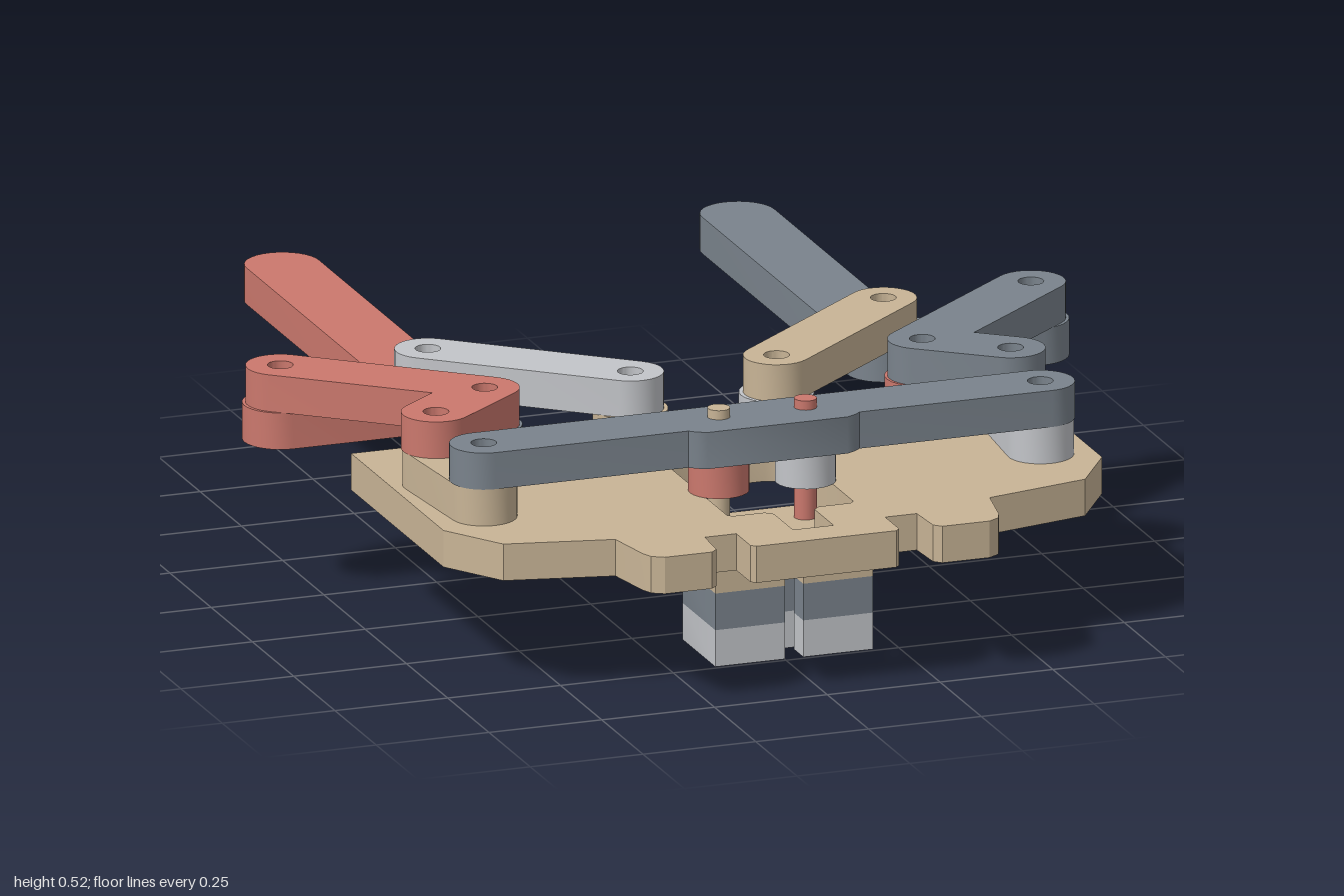
import * as THREE from 'three';
import { toCreasedNormals } from 'three/addons/utils/BufferGeometryUtils.js';

const mat = (name, color) => new THREE.MeshStandardMaterial({ name, color });

export function createModel() {
  const tan = mat('tan', 0xc8b496);
  const red = mat('red', 0xcb786d);
  const gray = mat('slate gray', 0x7a838c);
  const silver = mat('silver', 0xc3c5c9);
  const model = new THREE.Group();
  model.name = 'gripper';
  const V = (x, z) => new THREE.Vector2(x, z);

  // layer heights
  const H = 0.08, PLATE = 0.34, LOW = 0.42, HIGH = 0.5;
  const HOLE = 0.027;

  // extrude a plan shape (x, z) downward from the given top height
  function slab(name, shape, top, material, depth = H) {
    let g = new THREE.ExtrudeGeometry(shape, { depth, bevelEnabled: false, curveSegments: 12 });
    g.rotateX(Math.PI / 2).translate(0, top, 0);
    g = toCreasedNormals(g, 0.5);
    const m = new THREE.Mesh(g, material);
    m.name = name;
    model.add(m);
  }

  function addHole(shape, x, z, r = HOLE) {
    shape.holes.push(new THREE.Path().absarc(x, z, r, 0, Math.PI * 2, true));
  }

  // outline of constant half-width r around a polyline, round ends and outer bends
  function outline(pts, r) {
    const loop = [...pts, ...pts.slice(1, -1).reverse()];
    const out = [];
    loop.forEach((p, i) => {
      const a = loop[(i + loop.length - 1) % loop.length];
      const b = loop[(i + 1) % loop.length];
      const d0 = p.clone().sub(a).normalize(), d1 = b.clone().sub(p).normalize();
      const n0 = V(d0.y, -d0.x), n1 = V(d1.y, -d1.x);
      const dot = d0.dot(d1);
      const turn = dot < -0.999 ? Math.PI : Math.atan2(d0.cross(d1), dot);
      if (turn > 0) {
        const start = Math.atan2(n0.y, n0.x), steps = Math.ceil(turn / 0.2);
        for (let k = 0; k <= steps; k++) {
          const t = start + turn * k / steps;
          out.push(V(p.x + r * Math.cos(t), p.y + r * Math.sin(t)));
        }
      } else {
        out.push(p.clone().addScaledVector(n0.add(n1), r / (1 + dot)));
      }
    });
    return out;
  }

  function link(name, pts, r, top, material, holes = pts) {
    const s = new THREE.Shape(outline(pts, r));
    holes.forEach(p => addHole(s, p.x, p.y));
    slab(name, s, top, material);
  }

  function spacer(name, x, z, r, material) {
    const s = new THREE.Shape().absarc(x, z, r, 0, Math.PI * 2);
    addHole(s, x, z);
    slab(name, s, LOW, material);
  }

  const mirrored = half => [...half, ...half.slice().reverse().map(([x, z]) => [-x, z])].map(p => V(...p));

  // base plate with servo opening, pivot holes and linkage slots
  const plate = new THREE.Shape(mirrored([
    [0.73, 0.11], [0.73, 0.67], [0.645, 0.8], [0.415, 0.85], [0.395, 0.96], [0.385, 0.985], [0.36, 1],
    [0.255, 1], [0.24, 0.985], [0.235, 0.9], [0.165, 0.9], [0.165, 0.985], [0.155, 0.995],
  ]));
  plate.holes.push(new THREE.Path(mirrored([
    [0.1, 0.35], [0.128, 0.362], [0.14, 0.39], [0.14, 0.775], [0.13, 0.785],
    [0.06, 0.785], [0.045, 0.8], [0.045, 0.915],
  ])));
  for (const s of [-1, 1]) {
    addHole(plate, s * 0.485, 0.25);
    addHole(plate, s * 0.16, 0.25);
    plate.holes.push(new THREE.Path(outline([V(s * 0.625, 0.43), V(s * 0.615, 0.61)], 0.026)));
  }
  slab('basePlate', plate, PLATE, tan);

  // servo body in three bands, with a T-shaped notch at the front
  const body = [
    [-0.135, 0.525], [0.135, 0.525], [0.175, 0.6], [0.175, 0.8], [0.02, 0.8], [0.02, 0.743], [0.11, 0.743],
    [0.11, 0.73], [-0.11, 0.73], [-0.11, 0.743], [-0.02, 0.743], [-0.02, 0.8], [-0.175, 0.8], [-0.175, 0.6],
  ].map(p => V(...p));
  [['servoBottom', silver, 0.1], ['servoMiddle', gray, 0.18], ['servoTop', tan, 0.26]]
    .forEach(([name, m, top]) => slab(name, new THREE.Shape(body), top, m));

  // cross bar with a widened middle
  const bar = new THREE.Shape(outline([V(-0.617, 0.605), V(0.617, 0.605)], 0.072));
  addHole(bar, -0.617, 0.605);
  addHole(bar, 0.617, 0.605);
  slab('crossBar', bar, HIGH, gray);
  slab('crossBarBoss', new THREE.Shape(mirrored([[0.19, 0.677], [0.175, 0.69], [0.155, 0.7]])), HIGH, gray);

  // the two sides share their shapes and differ in colour
  const sides = [
    { s: -1, side: 'right', arm: red, inner: silver, pivot: gray, post: tan, rod: tan, collar: red, pin: tan },
    { s: 1, side: 'left', arm: gray, inner: tan, pivot: red, post: silver, rod: silver, collar: silver, pin: red },
  ];
  for (const { s, side, arm, inner, pivot, post, rod, collar, pin } of sides) {
    const tip = V(s * 0.505, -0.92), knuckle = V(s * 0.505, -0.04), elbow = V(s * 0.832, -0.04);
    const crank = V(s * 0.485, 0.25), heel = V(s * 0.637, 0.37), root = V(s * 0.162, 0.25);
    link(side + 'Finger', [tip, knuckle, elbow], 0.08, LOW, arm, [knuckle, elbow]);
    link(side + 'CrankArm', [elbow, crank, heel], 0.073, HIGH, arm);
    link(side + 'InnerLink', [knuckle, root], 0.07, HIGH, inner);
    link(side + 'PushRod', [heel, V(s * 0.617, 0.605)], 0.07, LOW, rod);
    spacer(side + 'CrankSpacer', crank.x, crank.y, 0.079, pivot);
    spacer(side + 'LinkSpacer', root.x, root.y, 0.079, post);
    // drive shaft and its collar
    spacer(side + 'ShaftCollar', s * 0.096, 0.605, 0.064, collar);
    const shaft = new THREE.Mesh(new THREE.CylinderGeometry(0.024, 0.024, 0.52, 24), pin);
    shaft.position.set(s * 0.096, 0.26, 0.605);
    shaft.name = side + 'Shaft';
    model.add(shaft);
  }
  return model;
}
